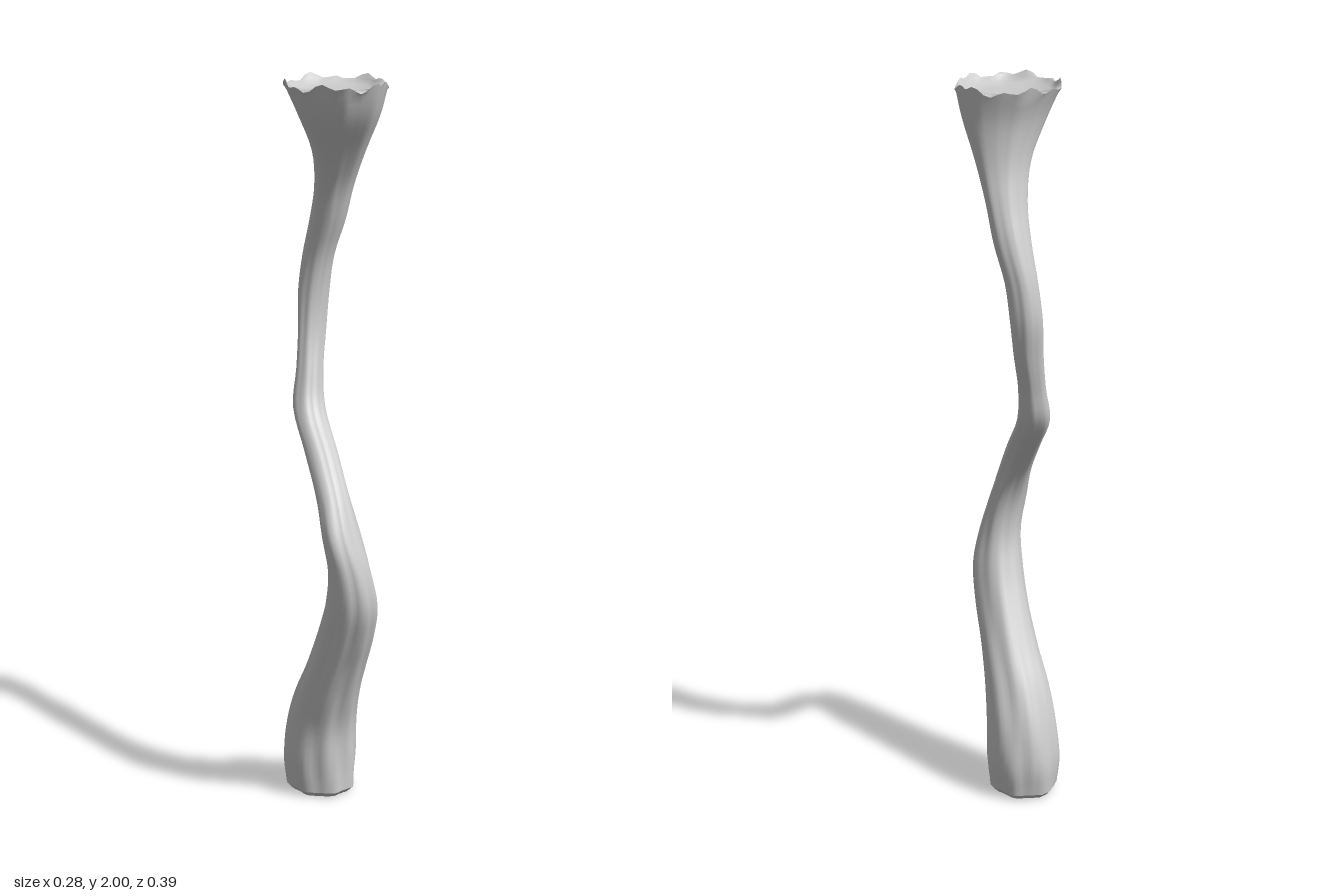
import * as THREE from 'three';

// Trunk cross-sections: height, x min, x max, z min, z max
const SECTIONS = [
  [0.015, -0.09, 0.09, -0.155, 0.045],
  [0.1, -0.1, 0.1, -0.16, 0.045],
  [0.2, -0.1, 0.09, -0.14, 0.05],
  [0.3, -0.105, 0.07, -0.1, 0.08],
  [0.4, -0.108, 0.05, -0.045, 0.12],
  [0.5, -0.115, 0.03, 0.005, 0.165],
  [0.6, -0.127, 0.01, 0.05, 0.197],
  [0.7, -0.135, -0.015, 0.08, 0.19],
  [0.8, -0.142, -0.025, 0.07, 0.155],
  [0.9, -0.115, -0.022, 0.02, 0.105],
  [1.0, -0.08, 0.008, -0.06, 0.03],
  [1.1, -0.045, 0.045, -0.14, -0.055],
  [1.2, -0.01, 0.068, -0.16, -0.09],
  [1.3, 0.015, 0.1, -0.18, -0.11],
  [1.4, 0.03, 0.117, -0.197, -0.113],
  [1.5, 0.038, 0.123, -0.187, -0.1],
  [1.6, 0.033, 0.133, -0.157, -0.065],
  [1.7, 0.015, 0.132, -0.122, -0.03],
  [1.8, -0.025, 0.127, -0.1, 0.03],
  [1.9, -0.09, 0.13, -0.105, 0.1],
  [1.985, -0.132, 0.138, -0.132, 0.138],
];
const SIDES = 48;
const ROWS = 80;

// Smooth interpolation of one column of the section list
const minCurve = new THREE.CatmullRomCurve3(SECTIONS.map(([y, x0, , z0]) => new THREE.Vector3(x0, y, z0)), false, 'catmullrom', 0.5);
const maxCurve = new THREE.CatmullRomCurve3(SECTIONS.map(([y, , x1, , z1]) => new THREE.Vector3(x1, y, z1)), false, 'catmullrom', 0.5);

// Bark grooves run lengthwise, wandering slowly round the trunk
function barkRadius(a, y) {
  const drift = 0.5 * Math.sin(2.3 * y) + 0.4 * y;
  const broad = Math.abs(Math.sin(3.5 * (a + drift) + 0.6 * Math.sin(a)));
  const broadWrapped = 0.5 + 0.5 * Math.cos(7 * (a + drift) + 0.9 * Math.sin(a));
  const fine = Math.cos(13 * (a - 0.5 * drift) + 3 * Math.sin(2 * a));
  const depth = y < 0.9 ? 0.075 : 0.055;
  return 1.015 - depth * (0.6 * broadWrapped + 0.4 * (1 - broad)) + 0.014 * fine;
}

// Ring of points on the bark at parameter t (0 base, 1 top)
function barkRing(t) {
  const lo = minCurve.getPoint(t), hi = maxCurve.getPoint(t);
  const c = lo.clone().add(hi).multiplyScalar(0.5);
  const rx = (hi.x - lo.x) / 2, rz = (hi.z - lo.z) / 2;
  return Array.from({ length: SIDES }, (_, i) => {
    const a = (i / SIDES) * Math.PI * 2;
    const r = barkRadius(a, c.y);
    const chip = t === 1 ? 0.007 * Math.sin(5 * a) + 0.007 * Math.sin(11 * a + 1) : 0;
    return new THREE.Vector3(c.x + rx * r * Math.sin(a), c.y + chip, c.z + rz * r * Math.cos(a));
  });
}

// Skin a list of rings, each running anticlockwise seen from above, lowest first
function skin(rings, name, material) {
  const positions = [], index = [];
  rings.forEach((ring) => ring.forEach((p) => positions.push(p.x, p.y, p.z)));
  for (let j = 0; j < rings.length - 1; j++) {
    for (let i = 0; i < SIDES; i++) {
      const k = (i + 1) % SIDES;
      const a = j * SIDES + i, b = j * SIDES + k;
      index.push(a, b, b + SIDES, a, b + SIDES, a + SIDES);
    }
  }
  const g = new THREE.BufferGeometry();
  g.setAttribute('position', new THREE.Float32BufferAttribute(positions, 3));
  g.setIndex(index);
  g.computeVertexNormals();
  const mesh = new THREE.Mesh(g, material);
  mesh.name = name;
  return mesh;
}

// Copy of a ring shrunk toward its centre and moved to height y
function inset(ring, scale, y) {
  const c = ring.reduce((s, p) => s.add(p), new THREE.Vector3()).divideScalar(SIDES);
  return ring.map((p) => new THREE.Vector3(c.x + (p.x - c.x) * scale, y, c.z + (p.z - c.z) * scale));
}

export function createModel() {
  const group = new THREE.Group();
  group.name = 'twistedTrunk';
  const material = new THREE.MeshStandardMaterial({ color: 0xcccccc, side: THREE.DoubleSide });

  // Bark
  const rings = Array.from({ length: ROWS + 1 }, (_, j) => barkRing(j / ROWS));
  group.add(skin(rings, 'bark', material));

  // Dished top with a ragged rim
  const top = rings[ROWS];
  const dish = [top, inset(top, 0.93, 1.982), inset(top, 0.85, 1.966), inset(top, 0.5, 1.962), inset(top, 0.001, 1.96)];
  group.add(skin(dish, 'topDish', material));

  // Slightly rounded underside
  const foot = rings[0];
  const sole = [inset(foot, 0.001, 0.006), inset(foot, 0.5, 0.004), inset(foot, 0.85, 0), foot];
  group.add(skin(sole, 'underside', material));

  return group;
}
